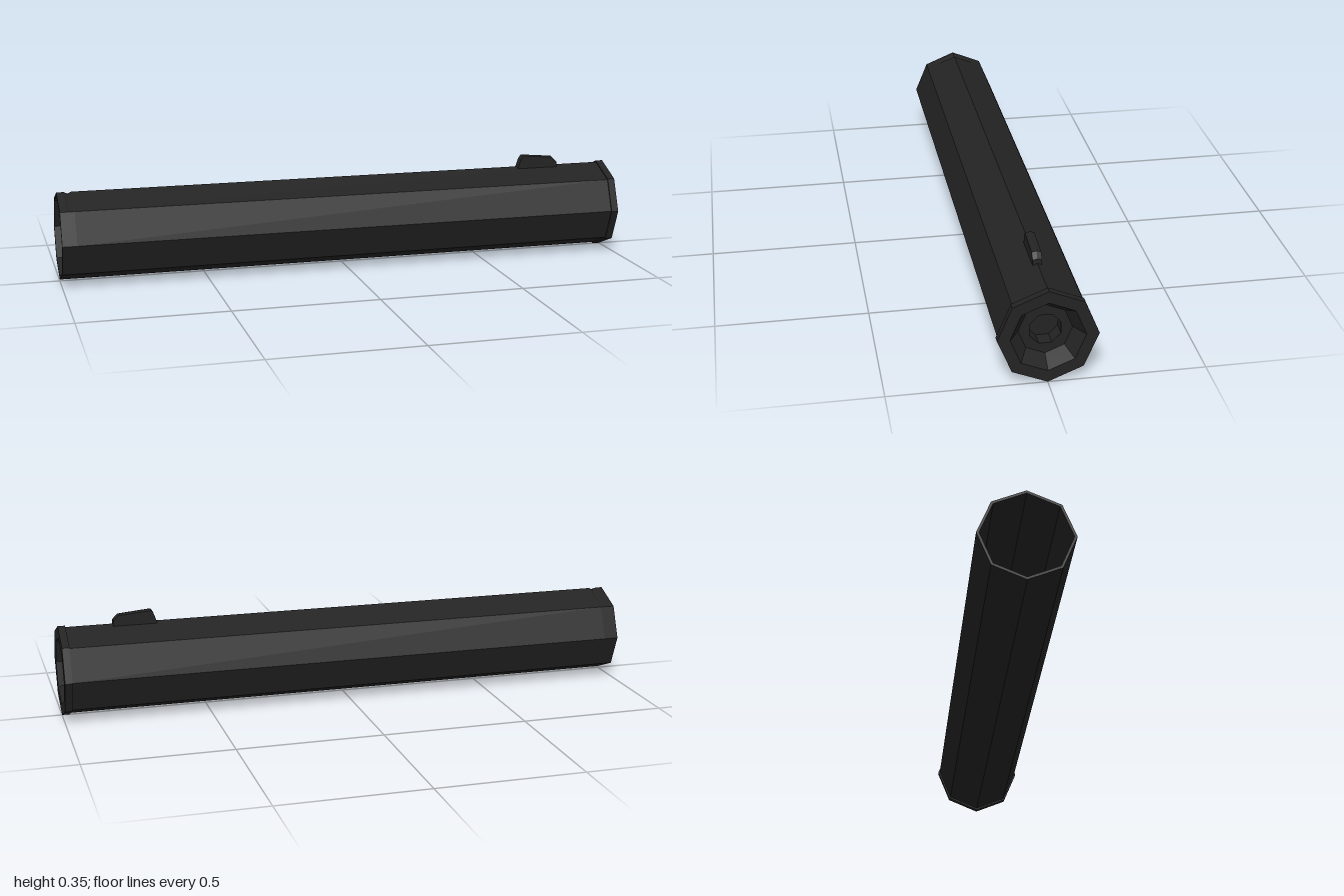
import * as THREE from 'three';

const AXIS_Y = 0.16;

// Faceted normals for a low-poly look
function facet(geo) {
  const g = geo.index ? geo.toNonIndexed() : geo;
  g.computeVertexNormals();
  return g;
}

// Eight-sided lathe along x; points are [x, radius]
function octLathe(points, phase = 0) {
  const g = new THREE.LatheGeometry(points.map(([x, r]) => new THREE.Vector2(r, x)), 8, phase);
  return g.rotateZ(-Math.PI / 2);
}

function octPath(path, r, phase) {
  path.setFromPoints(Array.from({ length: 8 }, (_, i) => {
    const a = phase + i * Math.PI / 4;
    return new THREE.Vector2(r * Math.cos(a), r * Math.sin(a));
  }));
  return path;
}

export function createModel() {
  const black = new THREE.MeshStandardMaterial({ color: 0x232323 });
  black.name = 'matte black';
  const model = new THREE.Group();
  model.name = 'octagonalTube';
  const add = (name, geo, y = AXIS_Y) => {
    const mesh = new THREE.Mesh(facet(geo), black);
    mesh.name = name;
    mesh.position.y = y;
    model.add(mesh);
  };

  // Hollow tube: inner plug, inner wall, outer wall, raised rim, tapered recess
  const body = octLathe([
    [0.88, 0], [0.88, 0.144], [-1, 0.144], [-1, 0.153],
    [-0.975, 0.153], [-0.962, 0.153], [-0.95, 0.153],
    [0.975, 0.153], [0.975, 0.158], [1, 0.158], [1, 0.118], [0.95, 0.085],
  ]);
  // Shallow notch in the top ridge near the open end
  const p = body.attributes.position;
  for (let i = 0; i < p.count; i++) {
    if (Math.abs(p.getX(i) + 0.962) < 0.002 && p.getY(i) > 0.15) p.setY(i, 0.147);
  }
  add('tubeBody', body);

  // Recess floor with the bore opening
  const floor = octPath(new THREE.Shape(), 0.085, 0);
  floor.holes.push(octPath(new THREE.Path(), 0.053, Math.PI / 8));
  add('recessFloor', new THREE.ShapeGeometry(floor).rotateY(Math.PI / 2).translate(0.95, 0, 0));

  // Blind bore
  add('bore', octLathe([[0.95, 0.053], [0.9, 0.053], [0.9, 0]], Math.PI / 8));

  // Sight blade with a slightly ridged top
  const blade = new THREE.Shape([
    [0.66, 0.3], [0.815, 0.3], [0.813, 0.325], [0.795, 0.343], [0.683, 0.353], [0.675, 0.342],
  ].map(([x, y]) => new THREE.Vector2(x, y)));
  const sight = new THREE.ExtrudeGeometry(blade, { depth: 0.03, steps: 2, bevelEnabled: false });
  sight.translate(0, 0, -0.015);
  const s = sight.attributes.position;
  for (let i = 0; i < s.count; i++) {
    if (Math.abs(s.getZ(i)) < 0.001 && s.getY(i) > 0.31) s.setY(i, s.getY(i) + 0.003);
  }
  add('sightBlade', sight, 0);

  return model;
}
